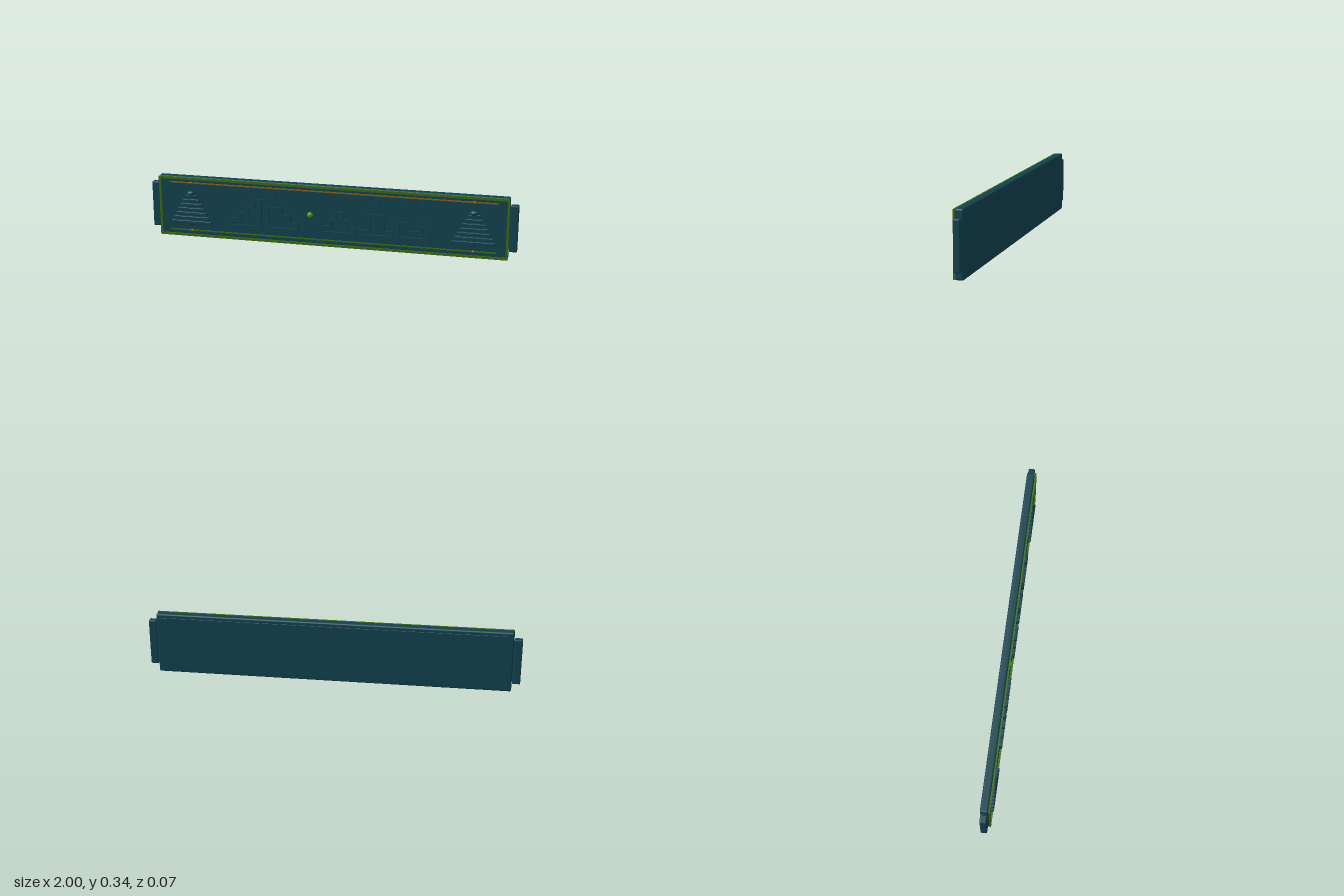
import * as THREE from 'three';
import { RoundedBoxGeometry } from 'three/addons/geometries/RoundedBoxGeometry.js';

const teal = new THREE.MeshStandardMaterial({ color: 0x11414e });
const green = new THREE.MeshStandardMaterial({ color: 0x3a6a10 });
const brightGreen = new THREE.MeshStandardMaterial({ color: 0x3f9a10 });
const amber = new THREE.MeshStandardMaterial({ color: 0x8a5a10 });

const FACE = 0.011; // z of the panel's front face

function add(parent, name, geometry, material, x, y, z) {
  const mesh = new THREE.Mesh(geometry, material);
  mesh.name = name;
  mesh.position.set(x, y, z);
  parent.add(mesh);
  return mesh;
}

// Moves each corner of a right-angled counter-clockwise outline inwards by w
function inset(points, w) {
  const n = points.length;
  const normal = (a, b) => {
    const l = Math.hypot(b[0] - a[0], b[1] - a[1]);
    return [-(b[1] - a[1]) / l, (b[0] - a[0]) / l];
  };
  return points.map((p, i) => {
    const a = normal(points[(i + n - 1) % n], p);
    const b = normal(p, points[(i + 1) % n]);
    return [p[0] + (a[0] + b[0]) * w, p[1] + (a[1] + b[1]) * w];
  });
}

// Raised band that follows an outline
function band(points, w, depth) {
  const vec = (list) => list.map(([x, y]) => new THREE.Vector2(x, y));
  const shape = new THREE.Shape(vec(points));
  shape.holes.push(new THREE.Path(vec(inset(points, w))));
  return new THREE.ExtrudeGeometry(shape, { depth, bevelEnabled: false });
}

export function createModel() {
  const model = new THREE.Group();
  model.name = 'decoratedPanel';

  // Main slab with softly rounded edges
  add(model, 'panel', new RoundedBoxGeometry(1.91, 0.34, 0.043, 3, 0.009), teal, 0, 0.17, FACE - 0.0215);
  add(model, 'backPlate', new RoundedBoxGeometry(1.87, 0.3, 0.01, 2, 0.003), teal, 0, 0.17, -0.028);

  // End tabs
  for (const s of [-1, 1]) {
    add(model, 'endTab', new RoundedBoxGeometry(0.042, 0.255, 0.035, 2, 0.006), teal, s * 0.979, 0.172, -0.0115);
    add(model, 'tabNeck', new THREE.BoxGeometry(0.03, 0.23, 0.022), teal, s * 0.955, 0.172, -0.0115);
  }

  // Border frame
  const border = [[-0.955, 0.002], [0.955, 0.002], [0.955, 0.338], [-0.955, 0.338]];
  add(model, 'borderFrame', band(border, 0.012, 0.009), green, 0, 0, FACE);

  // Thin inner rails with small studs
  for (const [y, material] of [[0.308, amber], [0.036, green]]) {
    add(model, 'innerRail', new THREE.BoxGeometry(1.79, 0.006, 0.006), material, 0, y, FACE + 0.003);
    for (const s of [-1, 1]) {
      add(model, 'railStud', new THREE.SphereGeometry(0.008, 12, 8), amber, s * 0.773, y, FACE + 0.004);
    }
  }

  // Stepped pyramids made of stacked bars, with a round cap
  for (const s of [-1, 1]) {
    const pyramid = new THREE.Group();
    pyramid.name = 'steppedPyramid';
    pyramid.position.set(s * 0.773, 0, 0);
    const tiers = 7;
    for (let i = 0; i < tiers; i++) {
      const width = 0.23 - i * 0.027;
      add(pyramid, 'pyramidTier', new RoundedBoxGeometry(width, 0.018, 0.02, 1, 0.003), teal,
        0, 0.084 + i * 0.0248, FACE + 0.006);
    }
    const cap = add(pyramid, 'pyramidCap', new THREE.SphereGeometry(1, 20, 12), teal, 0, 0.25, FACE + 0.005);
    cap.scale.set(0.024, 0.014, 0.018);
    const foot = add(pyramid, 'pyramidFoot', new THREE.SphereGeometry(1, 16, 10), teal, 0, 0.074, FACE + 0.003);
    foot.scale.set(0.02, 0.01, 0.012);
    model.add(pyramid);
  }

  // Outlined step motifs, corners listed counter-clockwise
  const motifs = {
    risingSteps: [[-0.55, 0.074], [-0.376, 0.074], [-0.376, 0.242], [-0.424, 0.242], [-0.424, 0.2],
      [-0.467, 0.2], [-0.467, 0.164], [-0.508, 0.164], [-0.508, 0.128], [-0.55, 0.128]],
    fallingSteps: [[-0.35, 0.072], [-0.17, 0.072], [-0.17, 0.122], [-0.212, 0.122], [-0.212, 0.164],
      [-0.258, 0.164], [-0.258, 0.204], [-0.35, 0.204]],
    steppedMound: [[-0.038, 0.072], [0.142, 0.072], [0.142, 0.122], [0.106, 0.122], [0.106, 0.162],
      [0.08, 0.162], [0.08, 0.204], [0.024, 0.204], [0.024, 0.162], [-0.002, 0.162], [-0.002, 0.122], [-0.038, 0.122]],
    tower: [[0.163, 0.072], [0.344, 0.072], [0.344, 0.115], [0.302, 0.115], [0.302, 0.204],
      [0.206, 0.204], [0.206, 0.115], [0.163, 0.115]],
    notchedBlock: [[0.366, 0.072], [0.548, 0.072], [0.548, 0.172], [0.494, 0.172], [0.494, 0.126],
      [0.42, 0.126], [0.42, 0.172], [0.366, 0.172]],
  };
  for (const [name, points] of Object.entries(motifs)) {
    add(model, name, band(points, 0.0165, 0.015), teal, 0, 0, FACE - 0.001);
  }

  // Small raised dots above the motifs
  for (const x of [-0.313, 0.254, 0.414, 0.505]) {
    const dot = add(model, 'dot', new THREE.CylinderGeometry(0.012, 0.014, 0.014, 14), teal, x, 0.257, FACE + 0.006);
    dot.rotation.x = Math.PI / 2;
  }

  // Bright bead in the middle
  const bead = add(model, 'bead', new THREE.SphereGeometry(0.016, 20, 14), brightGreen, -0.107, 0.173, FACE + 0.003);
  bead.scale.z = 0.75;

  return model;
}
